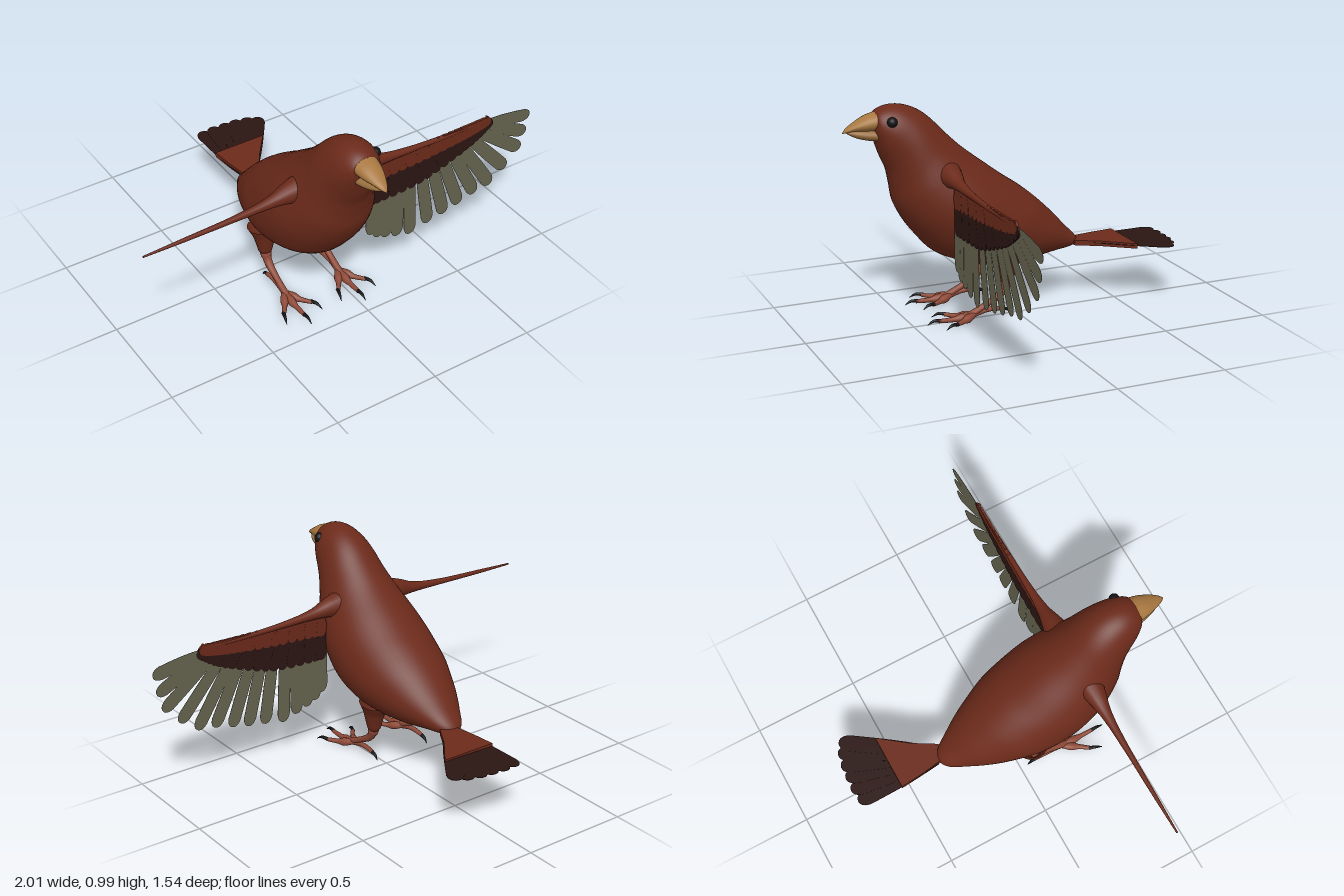
import * as THREE from 'three';

const CX = -0.12; // centre line of the body
const mat = (color) => new THREE.MeshStandardMaterial({ color, side: THREE.DoubleSide });
const V = (x, y, z) => new THREE.Vector3(x, y, z);
const spline = (pts) => new THREE.CatmullRomCurve3(pts);

// Closed skin over rings; ringPoint(t, angle) gives a point
function skin(rows, cols, ringPoint) {
  const pos = [], idx = [];
  for (let i = 0; i <= rows; i++)
    for (let j = 0; j < cols; j++) pos.push(...ringPoint(i / rows, (j / cols) * Math.PI * 2).toArray());
  for (let i = 0; i < rows; i++)
    for (let j = 0; j < cols; j++) {
      const a = i * cols + j, b = i * cols + ((j + 1) % cols);
      idx.push(a, a + cols, b, b, a + cols, b + cols);
    }
  const g = new THREE.BufferGeometry();
  g.setAttribute('position', new THREE.Float32BufferAttribute(pos, 3));
  g.setIndex(idx);
  g.computeVertexNormals();
  return g;
}

// Tilted ellipses, each given as [lower z, lower y, upper z, upper y, half width]
function loft(sections, rows, cols) {
  const low = spline(sections.map((s) => V(s[4], s[1], s[0])));
  const high = spline(sections.map((s) => V(0, s[3], s[2])));
  return skin(rows, cols, (t, a) => {
    const p = low.getPoint(t), q = high.getPoint(t);
    const w = Math.max(p.x, 0.001);
    p.x = q.x = 0;
    const c = p.clone().add(q).multiplyScalar(0.5);
    return c.addScaledVector(q.sub(p), 0.5 * Math.sin(a)).add(V(w * Math.cos(a), 0, 0));
  });
}

// Tapered tube through [x, y, z, radius]
function taper(points, rows = 16, cols = 12) {
  const path = spline(points.map((p) => V(p[0], p[1], p[2])));
  const rad = spline(points.map((p) => V(p[3], 0, 0)));
  const frames = path.computeFrenetFrames(rows, false);
  return skin(rows, cols, (t, a) => {
    const i = Math.round(t * rows), u = path.getUtoTmapping(t);
    const r = Math.max(rad.getPoint(u).x, 0.001);
    return path.getPoint(u)
      .addScaledVector(frames.normals[i], r * Math.cos(a))
      .addScaledVector(frames.binormals[i], -r * Math.sin(a));
  });
}

// Flat rounded feather from root to tip in the xy plane
function feather(root, tip, width, depth, z) {
  const dx = tip[0] - root[0], dy = tip[1] - root[1], L = Math.hypot(dx, dy), w = width / 2;
  const s = new THREE.Shape();
  s.moveTo(-w * 0.6, 0);
  s.bezierCurveTo(-w, L * 0.3, -w, L * 0.6, -w, L - w * 1.2);
  s.quadraticCurveTo(-w * 0.8, L, 0, L);
  s.quadraticCurveTo(w * 0.8, L, w, L - w * 1.2);
  s.bezierCurveTo(w, L * 0.6, w, L * 0.3, w * 0.6, 0);
  const g = new THREE.ExtrudeGeometry(s, { depth, bevelEnabled: false, curveSegments: 6 });
  g.translate(0, 0, z - depth / 2);
  g.rotateZ(Math.atan2(dy, dx) - Math.PI / 2);
  g.translate(root[0], root[1], 0);
  return g;
}

export function createModel() {
  const model = new THREE.Group();
  const plumage = mat(0x6b2a1a), dark = mat(0x2a1512), grey = mat(0x65634f);
  const horn = mat(0xa87840), hornLow = mat(0x9a7040), skinMat = mat(0x8f4a38), black = mat(0x121214);
  const add = (parent, name, geo, material, x = 0) => {
    const m = new THREE.Mesh(geo, material);
    m.name = name;
    m.position.x = x;
    parent.add(m);
    return m;
  };
  const group = (name, x = 0) => {
    const g = new THREE.Group();
    g.name = name;
    g.position.x = x;
    model.add(g);
    return g;
  };

  // Body and head in one skin
  add(model, 'body', loft([
    [0.64, 0.9, 0.64, 0.92, 0.005], [0.625, 0.85, 0.62, 0.967, 0.065],
    [0.61, 0.8, 0.58, 0.988, 0.09], [0.6, 0.77, 0.52, 0.993, 0.107],
    [0.585, 0.735, 0.45, 0.975, 0.122], [0.57, 0.7, 0.385, 0.935, 0.137],
    [0.555, 0.63, 0.3, 0.85, 0.16], [0.54, 0.55, 0.22, 0.775, 0.19],
    [0.5, 0.47, 0.11, 0.69, 0.22], [0.45, 0.4, 0.03, 0.63, 0.234],
    [0.36, 0.305, -0.05, 0.575, 0.235], [0.22, 0.245, -0.12, 0.52, 0.222],
    [0.08, 0.218, -0.18, 0.465, 0.19], [-0.08, 0.22, -0.235, 0.41, 0.148],
    [-0.22, 0.235, -0.29, 0.35, 0.097], [-0.32, 0.245, -0.34, 0.3, 0.05],
    [-0.36, 0.265, -0.36, 0.27, 0.005],
  ], 80, 48), plumage, CX);

  // Beak
  add(model, 'upperBeak', loft([
    [0.61, 0.885, 0.62, 0.966, 0.06], [0.66, 0.884, 0.665, 0.953, 0.051],
    [0.71, 0.889, 0.71, 0.929, 0.035], [0.75, 0.884, 0.75, 0.904, 0.016],
    [0.768, 0.882, 0.768, 0.885, 0.001],
  ], 20, 24), horn, CX);
  add(model, 'lowerBeak', loft([
    [0.6, 0.835, 0.61, 0.895, 0.055], [0.65, 0.842, 0.655, 0.894, 0.047],
    [0.705, 0.857, 0.705, 0.894, 0.031], [0.745, 0.878, 0.745, 0.889, 0.008],
  ], 16, 24), hornLow, CX);

  // Eye, on the left side only
  add(model, 'eye', new THREE.SphereGeometry(0.024, 20, 14), black).position.set(CX + 0.082, 0.93, 0.567);

  // Wing arms
  for (const s of [1, -1]) {
    add(model, s > 0 ? 'leftWingArm' : 'rightWingArm', taper([
      [0.14, 0.69, 0.335, 0.06], [0.2, 0.685, 0.335, 0.046], [0.27, 0.674, 0.335, 0.028],
      [0.35, 0.666, 0.335, 0.019], [0.48, 0.659, 0.335, 0.013], [0.7, 0.654, 0.335, 0.009],
      [0.885, 0.651, 0.335, 0.004],
    ].map((p) => [s * p[0], p[1], p[2], p[3]]), 32, 16), plumage, CX);
  }

  // Left wing feathers: long flight feathers under two rows of coverts
  const wing = group('leftWingFeathers');
  wing.position.z = 0.335;
  const tips = [
    [1, 0.59], [0.985, 0.5], [0.96, 0.415], [0.88, 0.335], [0.795, 0.275], [0.705, 0.26], [0.615, 0.235],
    [0.53, 0.215], [0.44, 0.2], [0.34, 0.18], [0.265, 0.2], [0.205, 0.22], [0.16, 0.24], [0.125, 0.27],
  ];
  tips.forEach((tip, i) => {
    const root = [0.76 - 0.64 * (i / (tips.length - 1)), 0.635];
    add(wing, 'flightFeather', feather(root, tip, 0.066, 0.001, (i - 7) * 0.0003), grey);
  });
  const coverts = (name, edge, count, width, depth, material) => {
    const curve = new THREE.SplineCurve(edge.map((p) => new THREE.Vector2(...p)));
    for (let i = 0; i < count; i++) {
      const t = i / (count - 1), p = curve.getPoint(t);
      const root = [0.12 + 0.61 * t, 0.652];
      add(wing, name, feather(root, [p.x, p.y], width, depth, (i % 2) * 0.0004), material);
    }
  };
  coverts('darkCovert', [[0.125, 0.435], [0.39, 0.45], [0.65, 0.54], [0.775, 0.615]], 19, 0.056, 0.007, dark);
  coverts('brownCovert', [[0.125, 0.555], [0.39, 0.575], [0.65, 0.615], [0.765, 0.64]], 19, 0.056, 0.011, plumage);

  // Tail: a half fan, brown at the base with dark feathers
  const tail = group('tail');
  tail.position.y = 0.271;
  tail.rotation.x = -Math.PI / 2;
  const base = new THREE.Shape([[-0.125, 0.32], [-0.055, 0.32], [0.01, 0.43], [0.11, 0.56], [-0.155, 0.56], [-0.145, 0.45]]
    .map((p) => new THREE.Vector2(...p)));
  const baseGeo = new THREE.ExtrudeGeometry(base, { depth: 0.024, bevelEnabled: false });
  add(tail, 'tailBase', baseGeo.translate(0, 0, -0.012), plumage);
  const tailTips = [[-0.118, 0.765], [-0.055, 0.77], [0.01, 0.765], [0.07, 0.758], [0.13, 0.742], [0.175, 0.715]];
  tailTips.forEach((tip, i) => {
    add(tail, 'tailFeather', feather([-0.115 + i * 0.009, 0.36], tip, 0.076, 0.002, (i - 2.5) * 0.001), dark);
  });

  // Legs with three front toes, a hind toe and claws
  for (const s of [1, -1]) {
    const leg = group(s > 0 ? 'leftLeg' : 'rightLeg', CX + s * 0.145);
    add(leg, 'thigh', taper([
      [0, 0.3, 0.05, 0.075], [0, 0.25, 0.057, 0.052], [0, 0.2, 0.06, 0.039], [0, 0.165, 0.062, 0.03], [0, 0.148, 0.066, 0.012],
    ], 16, 20), plumage);
    add(leg, 'shank', taper([
      [0, 0.18, 0.06, 0.02], [0, 0.135, 0.072, 0.02], [0, 0.1, 0.1, 0.018], [0, 0.065, 0.16, 0.014],
      [0, 0.035, 0.22, 0.015], [0, 0.02, 0.26, 0.012],
    ], 20), skinMat);
    const toes = [[-0.075, 0.335], [0, 0.39], [0.075, 0.335]];
    for (const [x, z] of toes) {
      add(leg, 'frontToe', taper([
        [0, 0.028, 0.215, 0.012], [x * 0.5, 0.016, (z + 0.23) / 2, 0.012], [x, 0.018, z, 0.009],
      ], 10, 10), skinMat);
      add(leg, 'frontClaw', taper([
        [x * 0.97, 0.019, z - 0.008, 0.009], [x * 1.13, 0.022, z + 0.025, 0.007], [x * 1.25, 0.006, z + 0.055, 0.001],
      ], 8, 8), black);
    }
    add(leg, 'hindToe', taper([
      [0, 0.025, 0.22, 0.013], [0, 0.038, 0.17, 0.012], [0, 0.04, 0.12, 0.011], [0, 0.033, 0.075, 0.009],
    ], 12, 10), skinMat);
    add(leg, 'hindClaw', taper([
      [0, 0.034, 0.083, 0.009], [0, 0.027, 0.055, 0.007], [0, 0.005, 0.036, 0.001],
    ], 8, 8), black);
  }
  return model;
}
